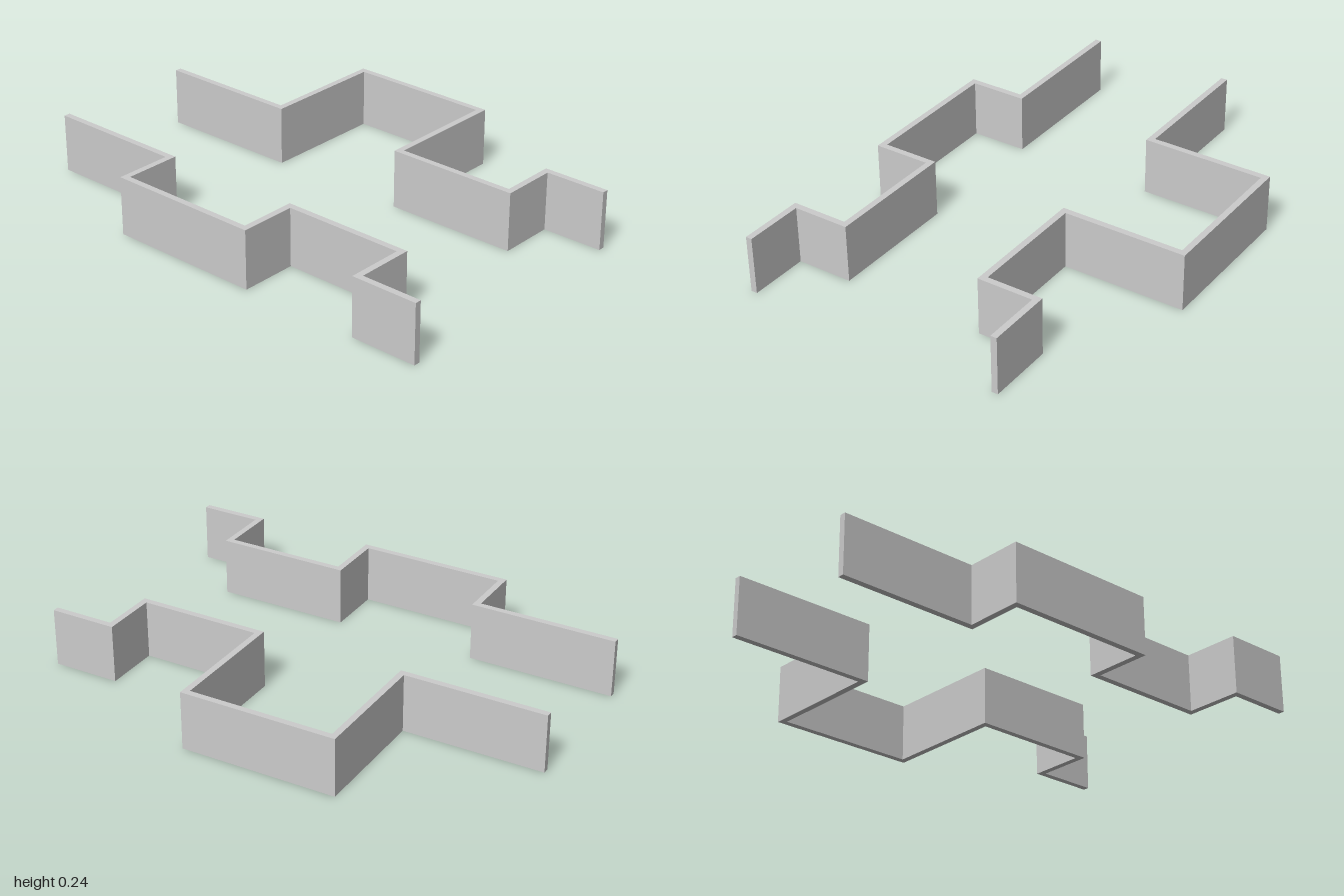
import * as THREE from 'three';

const HEIGHT = 0.24;
const THICKNESS = 0.026;

// Upright strip following a right-angled centre line of [x, z] points
function wallStrip(name, points, material) {
  const path = points.map(([x, z]) => new THREE.Vector2(x, z));
  const normals = path.slice(1).map((p, i) => {
    const d = p.clone().sub(path[i]).normalize();
    return new THREE.Vector2(-d.y, d.x);
  });
  // Square mitre: the offsets of both adjoining runs add up at each corner
  const side = (sign) => path.map((p, i) => {
    const offset = new THREE.Vector2();
    if (i > 0) offset.add(normals[i - 1]);
    if (i < normals.length) offset.add(normals[i]);
    return p.clone().addScaledVector(offset, sign * THICKNESS / 2);
  });
  const shape = new THREE.Shape([...side(1), ...side(-1).reverse()]);
  const geometry = new THREE.ExtrudeGeometry(shape, { depth: HEIGHT, bevelEnabled: false });
  geometry.rotateX(Math.PI / 2).translate(0, HEIGHT, 0);
  const mesh = new THREE.Mesh(geometry, material);
  mesh.name = name;
  return mesh;
}

// Centre line stepping between depths at shared x positions
function steppedLine(depths) {
  const xs = [-1, -0.409, 0.21, 0.736, 1];
  return depths.flatMap((z, i) => [[xs[i], z], [xs[i + 1], z]]);
}

export function createModel() {
  const group = new THREE.Group();
  group.name = 'steppedWalls';
  const material = new THREE.MeshStandardMaterial({ color: 0xcccccc });
  group.add(
    wallStrip('backWall', steppedLine([-0.172, -0.684, -0.172, -0.405]), material),
    wallStrip('frontWall', steppedLine([0.449, 0.684, 0.449, 0.684]), material),
  );
  return group;
}
